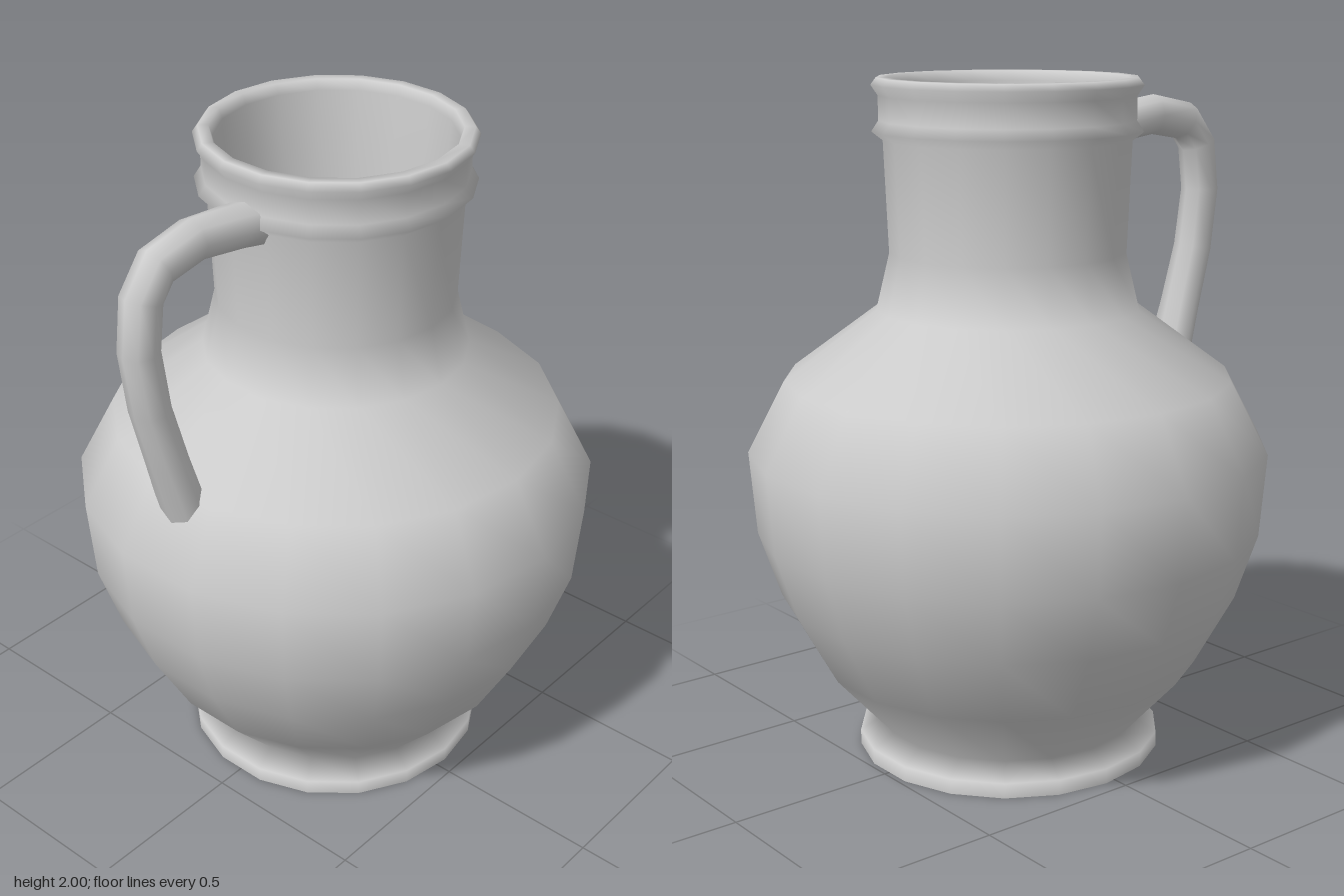
import * as THREE from 'three';

const SIDES = 18;
const CENTRE_Z = -0.035;

// Turned surface with a corner on the x axis
function turned(points, material, name) {
  const profile = points.map(([r, y]) => new THREE.Vector2(r, y));
  const mesh = new THREE.Mesh(new THREE.LatheGeometry(profile, SIDES, Math.PI / 2), material);
  mesh.name = name;
  mesh.position.z = CENTRE_Z;
  return mesh;
}

// Tube in the plane x = 0 through sections [z, y, half width, half thickness]
function sweep(sections, sides) {
  const positions = [], indices = [];
  const centres = sections.map(([z, y]) => new THREE.Vector3(0, y, z));
  const across = new THREE.Vector3(1, 0, 0);
  sections.forEach(([, , w, h], i) => {
    const before = centres[Math.max(i - 1, 0)];
    const after = centres[Math.min(i + 1, centres.length - 1)];
    const normal = after.clone().sub(before).normalize().cross(across);
    for (let j = 0; j < sides; j++) {
      const a = (j / sides) * Math.PI * 2;
      const p = centres[i].clone()
        .addScaledVector(across, Math.cos(a) * w)
        .addScaledVector(normal, Math.sin(a) * h);
      positions.push(p.x, p.y, p.z);
      if (i === sections.length - 1) continue;
      const k = (j + 1) % sides, n = i * sides, m = n + sides;
      indices.push(n + j, n + k, m + j, n + k, m + k, m + j);
    }
  });
  const geometry = new THREE.BufferGeometry();
  geometry.setAttribute('position', new THREE.Float32BufferAttribute(positions, 3));
  geometry.setIndex(indices);
  geometry.computeVertexNormals();
  return geometry;
}

export function createModel() {
  const group = new THREE.Group();
  group.name = 'jug';
  const material = new THREE.MeshStandardMaterial({ color: 0xcccccc });

  // Foot, belly, shoulder, neck and banded rim, then over the lip and down inside
  group.add(turned([
    [0.455, 0], [0.455, 0.045], [0.39, 0.085],
    [0.565, 0.28], [0.68, 0.49], [0.745, 0.685], [0.765, 0.93], [0.655, 1.14],
    [0.385, 1.34], [0.345, 1.505], [0.358, 1.825],
    [0.39, 1.85], [0.37, 1.88], [0.37, 1.95], [0.39, 1.98], [0.375, 2],
    [0.345, 2], [0.335, 1.97], [0.325, 1.83], [0.29, 1.5], [0.24, 0.1],
  ], material, 'body'));

  // Flat inner floor and underside
  group.add(turned([[0.24, 0.1], [0, 0.1]], material, 'innerFloor'));
  group.add(turned([[0, 0], [0.455, 0]], material, 'base'));

  // Handle, flared where it joins the neck and the shoulder
  const handle = new THREE.Mesh(sweep([
    [0.31, 1.838, 0.077, 0.062], [0.38, 1.85, 0.07, 0.06], [0.525, 1.868, 0.058, 0.06],
    [0.655, 1.843, 0.056, 0.06], [0.712, 1.77, 0.056, 0.058], [0.73, 1.63, 0.056, 0.057],
    [0.705, 1.45, 0.06, 0.055], [0.655, 1.27, 0.065, 0.055], [0.62, 1.15, 0.075, 0.055],
    [0.585, 1.03, 0.073, 0.055],
  ], 8), material);
  handle.name = 'handle';
  group.add(handle);

  return group;
}
